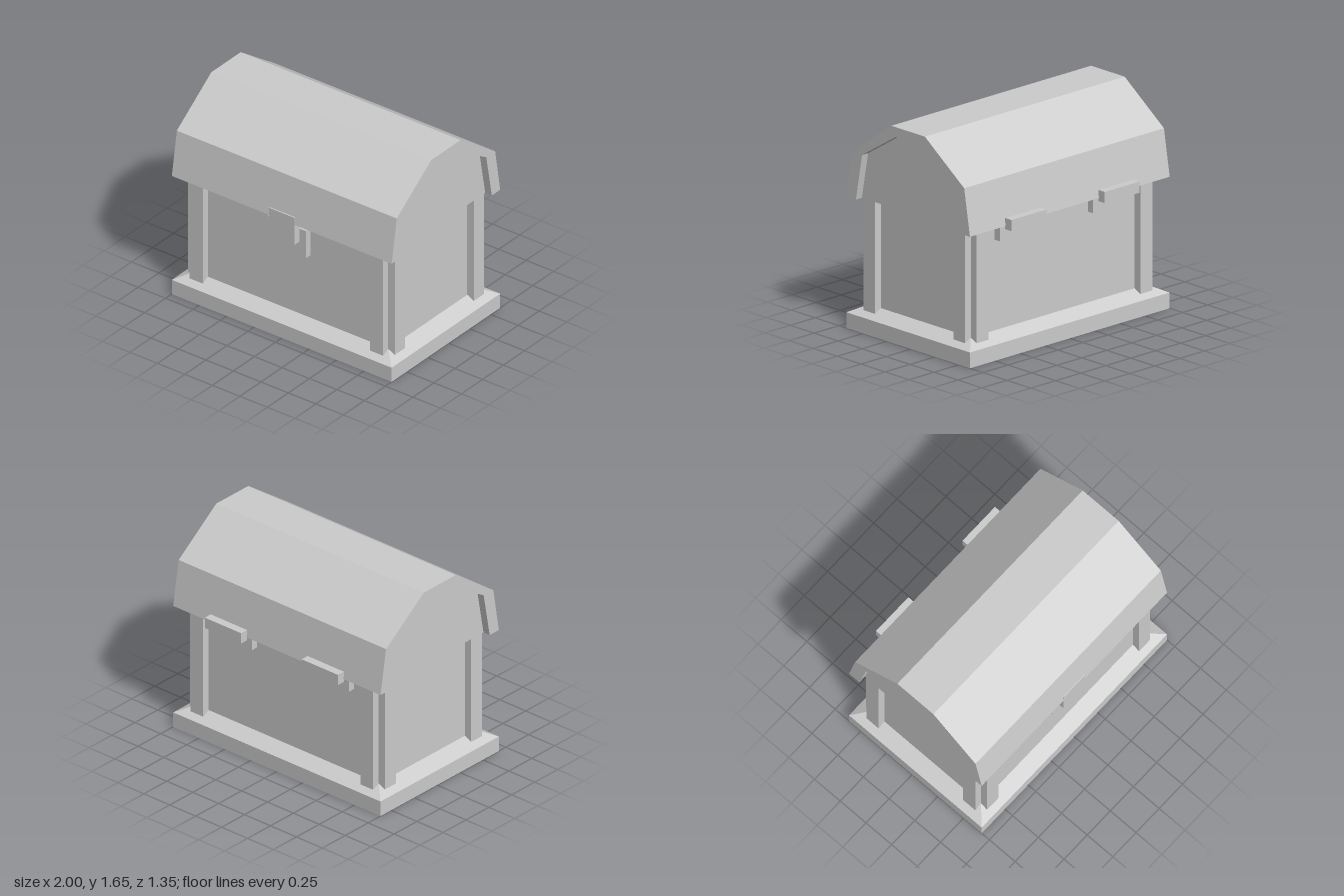
import * as THREE from 'three';

const MID_Z = 0.03; // the body sits slightly forward of the hinge overhang

export function createModel() {
  const group = new THREE.Group();
  const stone = new THREE.MeshStandardMaterial({ color: 0xcccccc });
  stone.name = 'light grey';

  const add = (name, geometry) => {
    const mesh = new THREE.Mesh(geometry, stone);
    mesh.name = name;
    group.add(mesh);
    return mesh;
  };

  // Box given by its limits on each axis
  const box = (name, x0, x1, y0, y1, z0, z1) => {
    const g = new THREE.BoxGeometry(x1 - x0, y1 - y0, z1 - z0);
    g.translate((x0 + x1) / 2, (y0 + y1) / 2, (z0 + z1) / 2);
    return add(name, g);
  };

  // Profile in (z, y), extruded along x and centred
  const extrudeX = (name, points, width) => {
    const shape = new THREE.Shape(points.map(([z, y]) => new THREE.Vector2(z, y)));
    const g = new THREE.ExtrudeGeometry(shape, { depth: width, bevelEnabled: false });
    g.translate(0, 0, -width / 2);
    g.rotateY(-Math.PI / 2);
    g.translate(0, 0, MID_Z);
    return add(name, g);
  };

  // Base slab with a sloped top edge
  box('baseSlab', -1, 1, 0, 0.12, -0.615, 0.675);
  const slope = new THREE.BoxGeometry(2, 0.06, 1.29).toNonIndexed();
  const p = slope.attributes.position;
  for (let i = 0; i < p.count; i++) {
    if (p.getY(i) > 0) {
      p.setX(i, Math.sign(p.getX(i)) * 0.88);
      p.setZ(i, Math.sign(p.getZ(i)) * 0.53);
    }
  }
  slope.computeVertexNormals();
  slope.translate(0, 0.15, MID_Z);
  add('baseSlope', slope);

  // Body
  box('body', -0.88, 0.88, 0.15, 1, -0.5, 0.56);

  // Corner posts: one on each face beside every corner
  for (const sx of [-1, 1]) {
    for (const sz of [-1, 1]) {
      const endPost = new THREE.BoxGeometry(0.12, 0.85, 0.06);
      endPost.translate(sx * 0.82, 0.575, MID_Z + sz * 0.56);
      add(sz > 0 ? 'frontPost' : 'backPost', endPost);
      const sidePost = new THREE.BoxGeometry(0.06, 0.85, 0.12);
      sidePost.translate(sx * 0.91, 0.575, MID_Z + sz * 0.47);
      add('sidePost', sidePost);
    }
  }

  // Lid: faceted arch with recessed end panels
  const mirror = (half) => [...half, ...half.map(([z, y]) => [-z, y]).reverse()];
  const outer = mirror([[0.645, 1], [0.585, 1.355], [0.175, 1.65]]);
  const inner = mirror([[0.545, 1], [0.48, 1.355], [0.13, 1.575]]);
  extrudeX('lidArch', [...outer, ...inner.slice().reverse()], 2);
  extrudeX('lidPanel', inner, 1.88);

  // Lock plate and clasp
  box('lockPlate', -0.173, 0.173, 0.71, 0.94, 0.56, 0.615);
  box('clasp', -0.115, 0.115, 0.83, 1.06, 0.615, 0.675);

  // Hinges at the back
  for (const sx of [-1, 1]) {
    const x = sx * 0.467;
    box('hingeUpper', x - 0.175, x + 0.175, 0.975, 1.06, -0.675, -0.61);
    box('hingeLower', x - 0.175, x + 0.175, 0.87, 0.975, -0.555, -0.5);
  }

  return group;
}
